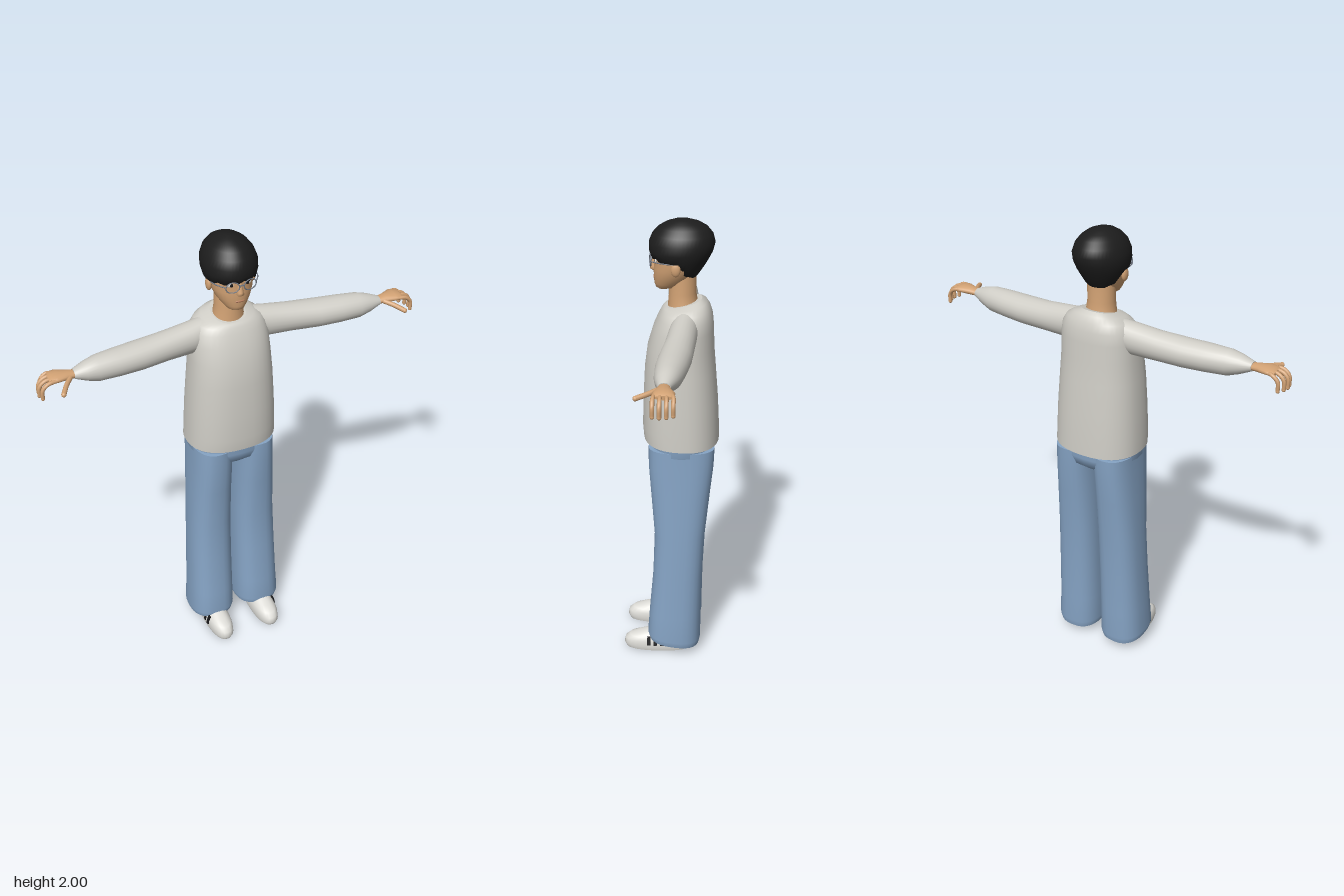
import * as THREE from 'three';
import { mergeGeometries } from 'three/addons/utils/BufferGeometryUtils.js';

const mat = (name, color) => Object.assign(new THREE.MeshStandardMaterial({ color }), { name });

// Closed loft of rounded rings. Section: [height, centre, halfWidth, front, back, tilt].
// along 'y': width is x, front/back is z. along 'x': width is z, front/back is top/bottom.
function loft(sections, { n = 28, power = 1, along = 'y' } = {}) {
  const pos = [], index = [], rows = sections.length;
  const round = (v) => Math.sign(v) * Math.abs(v) ** power;
  const put = (u, a, v) => (along === 'y' ? pos.push(u, a, v) : pos.push(a, v, u));
  const ring = ([a, c, h, f, b, tilt = 0]) => {
    for (let j = 0; j < n; j++) {
      const t = (j / n) * Math.PI * 2, s = round(Math.sin(t));
      put(c + h * round(Math.cos(t)), a + tilt * s, (f + b) / 2 + ((f - b) / 2) * s);
    }
  };
  sections.forEach(ring);
  for (let i = 0; i < rows - 1; i++) {
    for (let j = 0; j < n; j++) {
      const k = (j + 1) % n, a = i * n + j, b = a + n, c = i * n + k, d = c + n;
      index.push(a, b, c, b, d, c);
    }
  }
  // end caps
  [sections[0], sections[rows - 1]].forEach((s, e) => {
    const base = pos.length / 3;
    ring(s);
    put(s[1], s[0], (s[3] + s[4]) / 2);
    for (let j = 0; j < n; j++) {
      const k = (j + 1) % n;
      index.push(base + n, base + (e ? k : j), base + (e ? j : k));
    }
  });
  const g = new THREE.BufferGeometry();
  g.setAttribute('position', new THREE.Float32BufferAttribute(pos, 3));
  g.setIndex(index);
  g.computeVertexNormals();
  return g;
}

const ball = (x, y, z, rx, ry, rz) =>
  new THREE.SphereGeometry(1, 16, 12).scale(rx, ry, rz).translate(x, y, z);

// Tube with a rounded tip
function rod(points, r) {
  const pts = points.map((p) => new THREE.Vector3(...p));
  const tip = points[points.length - 1];
  const tube = new THREE.TubeGeometry(new THREE.CatmullRomCurve3(pts), 10, r, 8);
  return mergeGeometries([tube, ball(...tip, r, r, r)]);
}

function mirrored(geo) {
  const g = geo.clone().scale(-1, 1, 1), ix = g.index;
  for (let i = 0; i < ix.count; i += 3) {
    const t = ix.getX(i);
    ix.setX(i, ix.getX(i + 1));
    ix.setX(i + 1, t);
  }
  return g;
}

export function createModel() {
  const model = new THREE.Group();
  model.name = 'standingPerson';
  const knit = mat('paleKnit', 0xcfcdc6), denim = mat('blueDenim', 0x86a4c5);
  const skin = mat('skin', 0xd2a274), hairMat = mat('blackHair', 0x1d1d1d);
  const shoeMat = mat('whiteShoe', 0xdfded9), black = mat('blackDetail', 0x18181a);
  const frame = mat('greyFrame', 0x737a86), white = mat('eyeWhite', 0xd9d6d0);
  const lip = mat('lip', 0xb9805f);

  const add = (name, geo, material) => {
    const mesh = new THREE.Mesh(geo, material);
    mesh.name = name;
    model.add(mesh);
  };
  const pair = (name, geo, material) => {
    add(name + 'Left', geo, material);
    add(name + 'Right', mirrored(geo), material);
  };

  // Sweater body and sleeves
  add('sweaterBody', loft([
    [1.035, 0, 0.2, 0.122, -0.205, 0.006], [1.1, 0, 0.198, 0.127, -0.203],
    [1.22, 0, 0.193, 0.124, -0.197], [1.36, 0, 0.184, 0.117, -0.186],
    [1.46, 0, 0.176, 0.104, -0.178], [1.54, 0, 0.172, 0.08, -0.176],
    [1.59, 0, 0.162, 0.058, -0.171], [1.62, 0, 0.142, 0.045, -0.16, -0.006],
    [1.638, 0, 0.11, 0.036, -0.145, -0.013], [1.647, 0, 0.072, 0.028, -0.125, -0.018],
  ], { n: 36, power: 0.85 }), knit);
  pair('sleeve', loft([
    [0.08, -0.06, 0.055, 1.638, 1.52], [0.17, -0.05, 0.06, 1.627, 1.487],
    [0.28, -0.042, 0.062, 1.614, 1.487], [0.4, -0.03, 0.067, 1.607, 1.484],
    [0.5, -0.02, 0.064, 1.604, 1.486], [0.59, -0.012, 0.055, 1.6, 1.49],
    [0.64, -0.007, 0.043, 1.588, 1.507], [0.69, -0.003, 0.025, 1.569, 1.53],
  ], { along: 'x', n: 24 }), knit);

  // Hands
  pair('palm', loft([
    [0.67, -0.002, 0.02, 1.562, 1.535], [0.72, -0.003, 0.029, 1.57, 1.535],
    [0.76, -0.005, 0.043, 1.573, 1.54], [0.785, -0.005, 0.043, 1.569, 1.541],
    [0.797, -0.005, 0.036, 1.562, 1.545],
  ], { along: 'x', n: 16 }), skin);
  [[-0.043, -0.018], [-0.018, -0.004], [0.008, 0], [0.034, -0.006]].forEach(([z, d], i) =>
    pair('finger' + (i + 1), rod([
      [0.77, 1.556, z * 0.85], [0.812 + d, 1.553, z],
      [0.836 + d, 1.53, z], [0.838 + d, 1.492, z],
    ], 0.0085), skin));
  pair('thumb', rod([[0.705, 1.55, 0.012], [0.738, 1.543, 0.055], [0.764, 1.535, 0.1]], 0.0105), skin);

  // Trousers
  add('trouserSeat', loft([
    [0.925, 0, 0.08, 0.05, -0.13], [0.96, 0, 0.165, 0.088, -0.175],
    [1.0, 0, 0.188, 0.099, -0.188], [1.08, 0, 0.186, 0.1, -0.188],
  ], { power: 0.85 }), denim);
  pair('trouserLeg', loft([
    [0.05, 0.116, 0.098, 0.098, -0.128, 0.014], [0.078, 0.116, 0.105, 0.105, -0.135, 0.012],
    [0.2, 0.113, 0.101, 0.097, -0.135], [0.4, 0.11, 0.098, 0.08, -0.14],
    [0.6, 0.106, 0.095, 0.073, -0.15], [0.8, 0.102, 0.091, 0.088, -0.17],
    [0.93, 0.098, 0.089, 0.098, -0.184], [1.02, 0.095, 0.09, 0.098, -0.188],
  ], { power: 0.8 }), denim);

  // Shoes with dark side stripes
  pair('shoe', loft([
    [0, 0.117, 0.052, 0.205, -0.085], [0.02, 0.117, 0.057, 0.215, -0.09],
    [0.045, 0.117, 0.055, 0.21, -0.088], [0.062, 0.117, 0.05, 0.19, -0.085],
    [0.075, 0.117, 0.042, 0.15, -0.08], [0.09, 0.117, 0.034, 0.1, -0.07],
  ], { power: 0.85 }), shoeMat);
  [0.1, 0.07, 0.04].forEach((z, i) =>
    pair('shoeStripe' + (i + 1), new THREE.BoxGeometry(0.009, 0.042, 0.014)
      .rotateZ(0.25).translate(0.169, 0.052, z), black));

  // Neck, head, nose and ears
  add('neck', loft([
    [1.58, 0, 0.08, 0.02, -0.12], [1.64, 0, 0.066, 0.018, -0.108],
    [1.69, 0, 0.06, 0.014, -0.1], [1.78, 0, 0.06, 0.01, -0.1],
  ]), skin);
  add('head', loft([
    [1.706, 0, 0.025, 0.058, 0.02], [1.713, 0, 0.038, 0.069, -0.02],
    [1.73, 0, 0.053, 0.075, -0.055], [1.76, 0, 0.073, 0.077, -0.085],
    [1.795, 0, 0.087, 0.078, -0.11], [1.83, 0, 0.093, 0.074, -0.13],
    [1.87, 0, 0.095, 0.08, -0.135], [1.93, 0, 0.07, 0.05, -0.11],
  ]), skin);
  add('nose', loft([
    [1.782, 0, 0.01, 0.082, 0.06], [1.79, 0, 0.017, 0.094, 0.06],
    [1.8, 0, 0.013, 0.092, 0.06], [1.845, 0, 0.008, 0.079, 0.06],
  ], { n: 12 }), skin);
  pair('ear', ball(0.097, 1.812, -0.018, 0.012, 0.03, 0.02), skin);
  add('mouth', ball(0, 1.756, 0.075, 0.022, 0.005, 0.004), lip);

  // Eyes and brows
  pair('eye', ball(0.036, 1.832, 0.066, 0.017, 0.009, 0.005), white);
  pair('iris', ball(0.035, 1.832, 0.07, 0.007, 0.008, 0.003), black);
  pair('brow', ball(0.037, 1.855, 0.068, 0.021, 0.004, 0.005), hairMat);

  // Glasses
  pair('glassesRim', new THREE.TorusGeometry(0.027, 0.0026, 6, 28)
    .scale(1.05, 0.85, 1).rotateY(0.15).translate(0.038, 1.833, 0.089), frame);
  add('glassesBridge', new THREE.BoxGeometry(0.022, 0.004, 0.004).translate(0, 1.838, 0.094), frame);
  pair('glassesArm', rod([[0.066, 1.837, 0.085], [0.093, 1.836, 0.04], [0.101, 1.833, -0.02]], 0.0025), frame);

  // Hair cap, its lower edge raised around the face and ears
  const hair = loft([
    [1.75, 0, 0.062, 0.04, -0.095], [1.775, 0, 0.076, 0.055, -0.112],
    [1.805, 0, 0.09, 0.066, -0.132], [1.835, 0, 0.106, 0.088, -0.15],
    [1.87, 0, 0.115, 0.097, -0.168], [1.905, 0, 0.114, 0.097, -0.177],
    [1.94, 0, 0.101, 0.083, -0.168], [1.967, 0, 0.08, 0.058, -0.146],
    [1.985, 0, 0.056, 0.028, -0.115], [1.996, 0, 0.03, -0.005, -0.078],
    [2, 0, 0.008, -0.033, -0.05],
  ], { n: 48 });
  const edge = [[-0.2, 1.75], [-0.08, 1.755], [-0.045, 1.785], [-0.025, 1.83], [0.03, 1.835], [0.1, 1.85]];
  const p = hair.attributes.position;
  for (let i = 0; i < p.count; i++) {
    const z = p.getZ(i), k = edge.findIndex((e) => e[0] >= z);
    const [z0, y0] = edge[k - 1], [z1, y1] = edge[k];
    let limit = y0 + ((y1 - y0) * (z - z0)) / (z1 - z0);
    if (z > 0.04) limit += 0.006 * Math.sin(p.getX(i) * 130);
    if (p.getY(i) < limit) p.setY(i, limit);
  }
  hair.computeVertexNormals();
  add('hair', hair, hairMat);
  return model;
}
